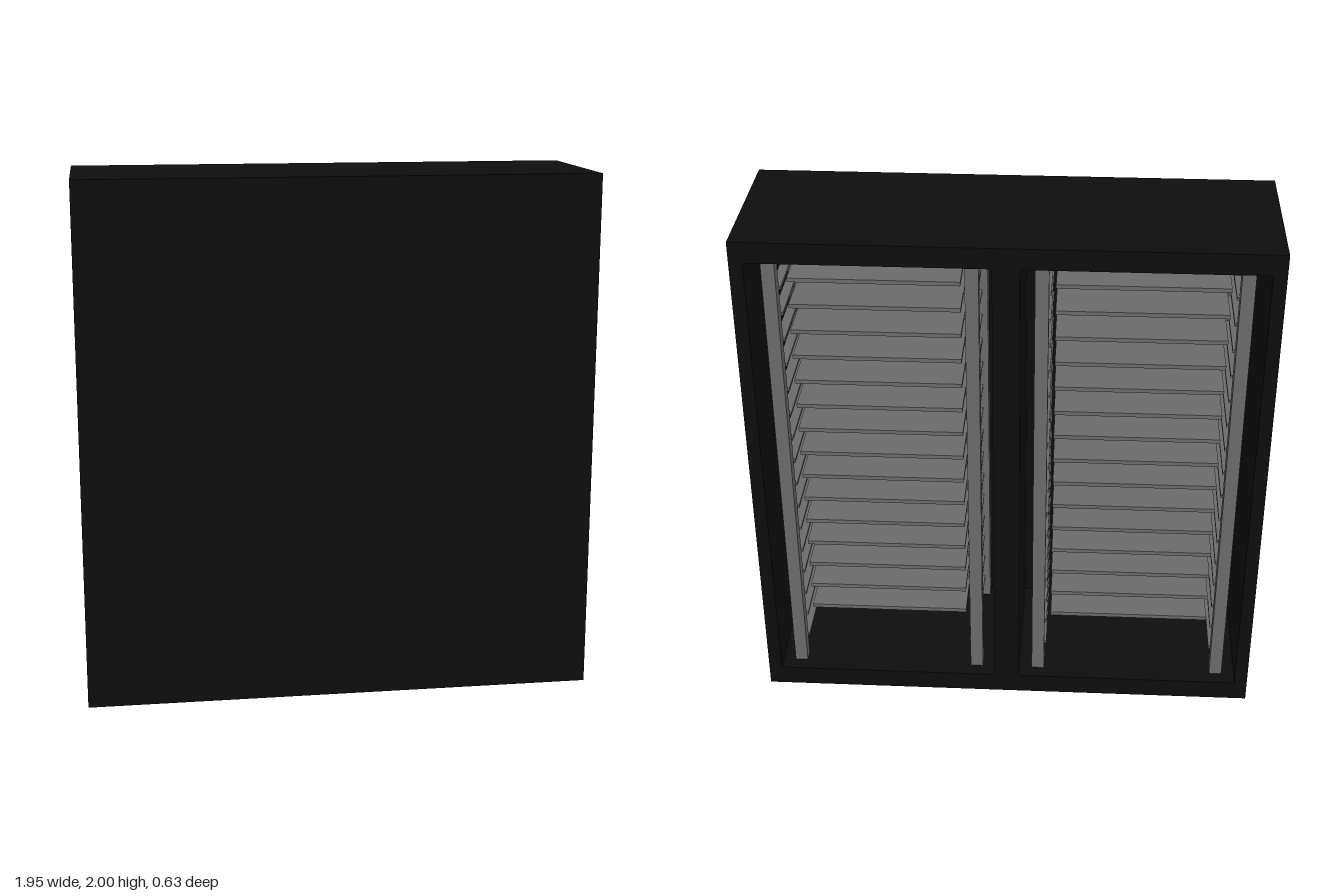
import * as THREE from 'three';

const W = 1.95, H = 2, D = 0.634;   // overall size
const WALL = 0.05, SLAB = 0.08;     // side/front thickness, top/bottom thickness
const BAY = W / 2;
const SHELVES = 15, PITCH = 0.1065, TOP_SHELF = 1.795;

const black = new THREE.MeshStandardMaterial({ color: 0x0d0d0d });
const grey = new THREE.MeshStandardMaterial({ color: 0x6a6a6a });

// Box given by its size and centre
function box(parent, name, material, size, centre) {
  const mesh = new THREE.Mesh(new THREE.BoxGeometry(...size), material);
  mesh.name = name;
  mesh.position.set(...centre);
  parent.add(mesh);
  return mesh;
}

// Case: closed front, open back, central divider
function createCase() {
  const group = new THREE.Group();
  group.name = 'case';
  const innerH = H - 2 * SLAB;
  box(group, 'topPanel', black, [W, SLAB, D], [0, H - SLAB / 2, 0]);
  box(group, 'bottomPanel', black, [W, SLAB, D], [0, SLAB / 2, 0]);
  for (const s of [-1, 1]) {
    box(group, 'sidePanel', black, [WALL, innerH, D], [s * (W - WALL) / 2, H / 2, 0]);
    box(group, 'frontPanel', black, [BAY - 2 * WALL, innerH, WALL],
      [s * BAY / 2, H / 2, (D - WALL) / 2]);
  }
  box(group, 'divider', black, [2 * WALL, innerH, D], [0, H / 2, 0]);
  return group;
}

// Rack of one bay: four posts, pairs of runners and a stack of shelves
function createRack() {
  const group = new THREE.Group();
  group.name = 'rack';
  const postX = 0.3625, postZ = 0.237;
  for (const sx of [-1, 1]) {
    for (const sz of [-1, 1]) {
      box(group, 'post', grey, [0.05, H - 2 * SLAB, 0.05], [sx * postX, H / 2, sz * postZ]);
    }
    // One spare pair of runners below the lowest shelf
    for (let i = 0; i <= SHELVES; i++) {
      const y = TOP_SHELF - i * PITCH - 0.022;
      box(group, 'runner', grey, [0.035, 0.012, 2 * postZ - 0.05], [sx * (postX - 0.015), y, 0]);
    }
  }
  for (let i = 0; i < SHELVES; i++) {
    box(group, 'shelf', grey, [0.63, 0.016, 0.38], [0, TOP_SHELF - i * PITCH - 0.008, 0.013]);
  }
  return group;
}

export function createModel() {
  const model = new THREE.Group();
  model.name = 'shelfCabinet';
  model.add(createCase());
  for (const s of [-1, 1]) {
    const rack = createRack();
    rack.position.x = s * BAY / 2;
    model.add(rack);
  }
  return model;
}
